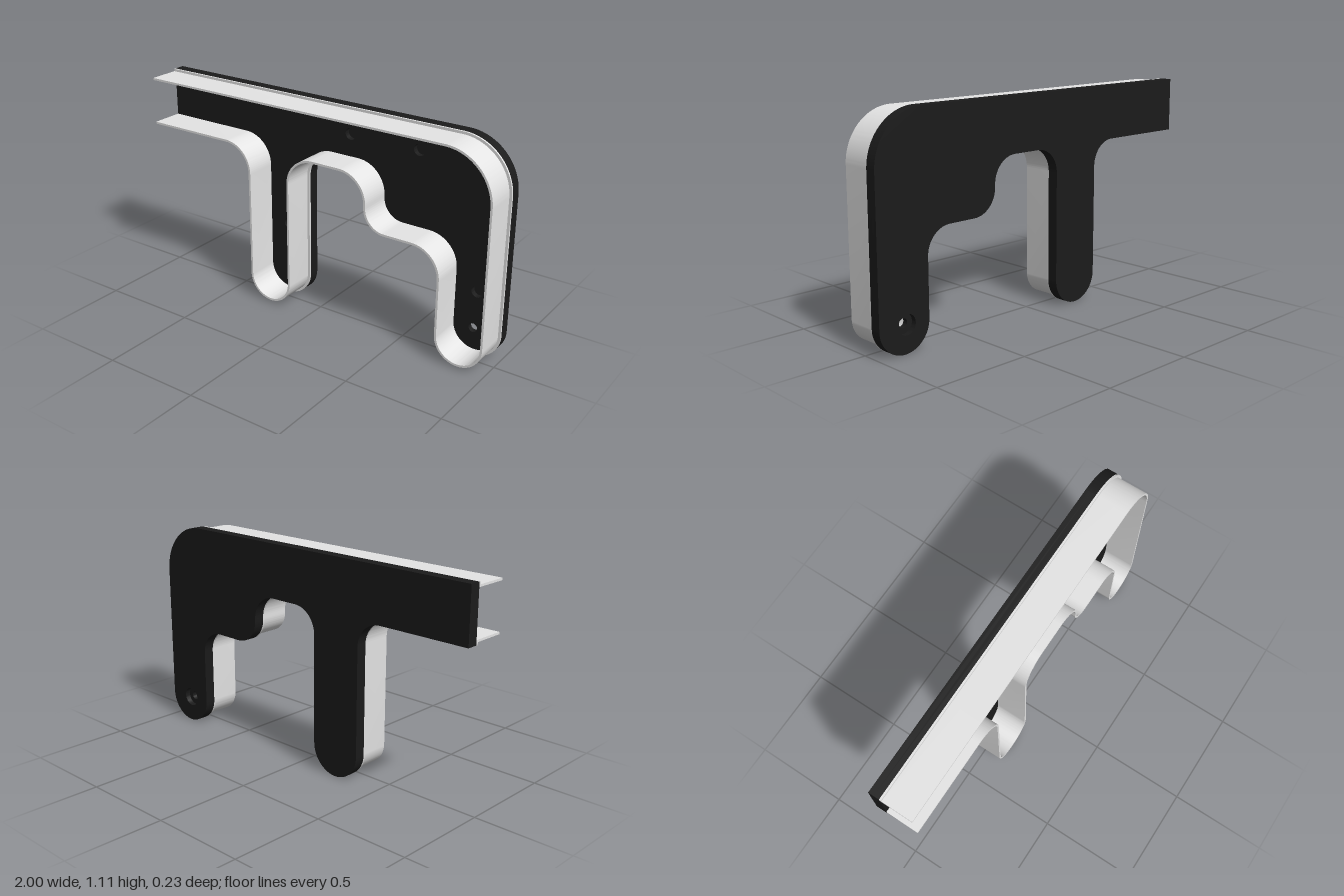
import * as THREE from 'three';
import { toCreasedNormals } from 'three/addons/utils/BufferGeometryUtils.js';

const black = new THREE.MeshStandardMaterial({ color: 0x1b1b1b });
black.name = 'black plate';
const grey = new THREE.MeshStandardMaterial({ color: 0xe5e5e5 });
grey.name = 'light grey trim';

const PI = Math.PI, H = PI / 2;
const END = -1, TOP = 1.105, UNDER = 0.827;

// Tangent arcs of the outline, clockwise: x, y, radius, start, end, convex
const ARCS = [
  [0.74, 0.845, 0.26, H, 0, true],           // outer corner
  [0.861, 0.139, 0.139, 0, -PI, true],       // end leg foot
  [0.592, 0.425, 0.13, 0, H, false],         // end leg fillet
  [0.443, 0.685, 0.13, -H, -PI, true],       // step corner
  [0.183, 0.697, 0.13, 0, H, false],         // step fillet
  [0.026, 0.697, 0.13, H, PI, false],        // middle leg fillet
  [-0.243, 0.139, 0.139, 0, -PI, true],      // middle leg foot
  [-0.512, 0.697, 0.13, 0, H, false],        // arm fillet
];

// Outline moved inward by d; the left end stays in place
function outline(d) {
  const path = new THREE.Path();
  for (const [x, y, r, a, b, convex] of ARCS) {
    path.absarc(x, y, convex ? r - d : r + d, a, b, convex);
  }
  path.lineTo(END, UNDER + d);
  const pts = [new THREE.Vector2(END, TOP - d), ...path.getPoints(24)];
  return pts.filter((p, i) => i === 0 || p.distanceTo(pts[i - 1]) > 1e-5);
}

function extrude(name, shape, z0, z1, material) {
  const geometry = new THREE.ExtrudeGeometry(shape, {
    depth: z1 - z0, bevelEnabled: false, curveSegments: 24,
  });
  geometry.translate(0, 0, z0);
  const mesh = new THREE.Mesh(toCreasedNormals(geometry, 0.5), material);
  mesh.name = name;
  return mesh;
}

function plate(holes) {
  const shape = new THREE.Shape(outline(0));
  for (const [x, y, r] of holes) {
    shape.holes.push(new THREE.Path().absarc(x, y, r, 0, 2 * PI, false));
  }
  return shape;
}

// Strip following the outline, open at the left end
function strip(d0, d1) {
  return new THREE.Shape([...outline(d0), ...outline(d1).reverse()]);
}

export function createModel() {
  const group = new THREE.Group();
  group.name = 'bracketCover';

  // Back layer has the counterbore, front layer the through hole and blind holes
  group.add(extrude('backPlate', plate([[0.85, 0.137, 0.05]]), -0.113, -0.085, black));
  group.add(extrude('floorPlate', plate([
    [0.85, 0.137, 0.023],
    [0.137, 0.966, 0.03], [0.52, 0.966, 0.03],
    [-0.243, 0.393, 0.03], [0.86, 0.333, 0.03],
  ]), -0.085, -0.057, black));

  // Trim: a flat lip on the plate and a thin upright wall
  group.add(extrude('lip', strip(0, 0.024), -0.057, -0.047, grey));
  group.add(extrude('wall', strip(0.013, 0.024), -0.047, 0.113, grey));
  return group;
}
